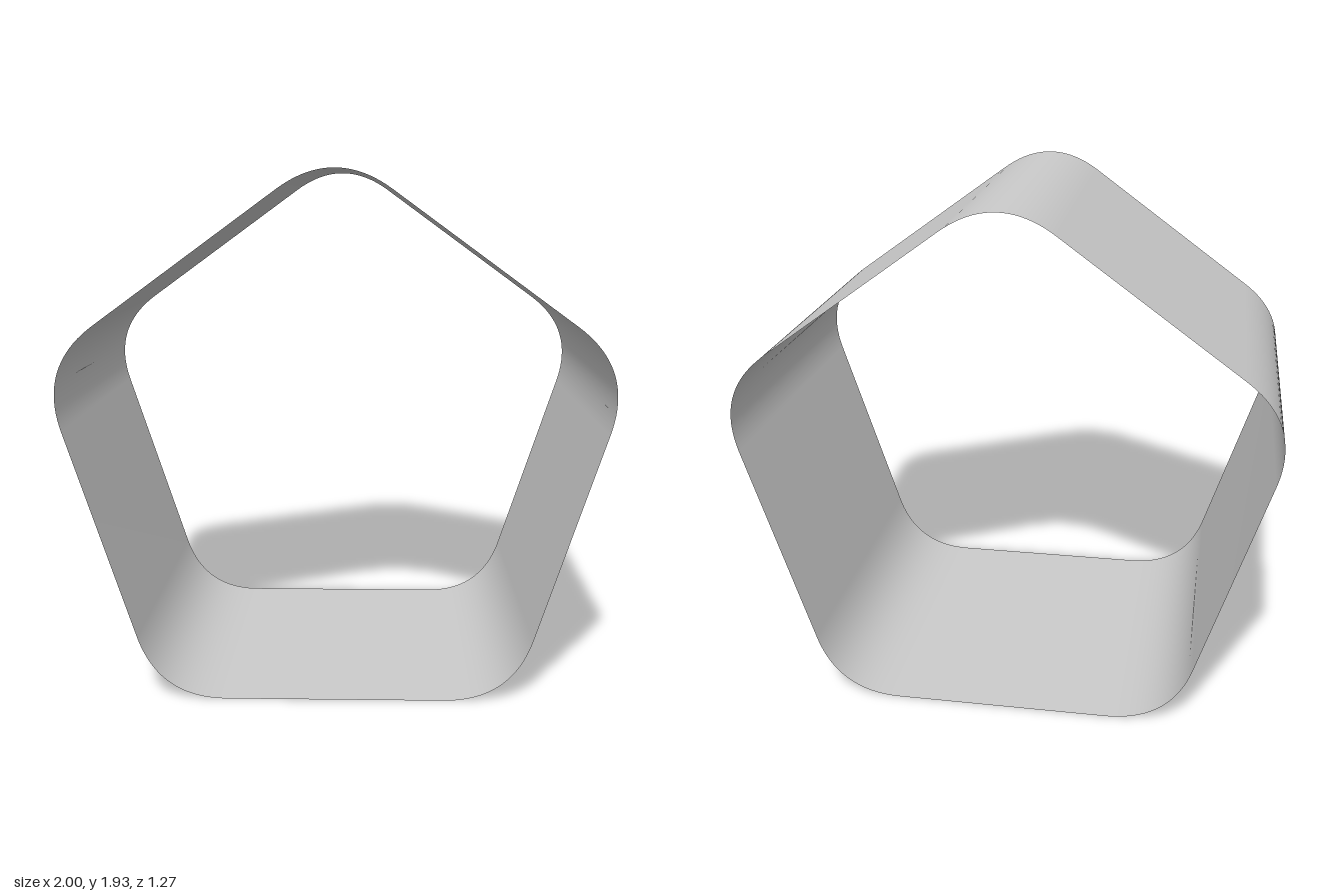
import * as THREE from 'three';

const SIDES = 5;
const RADIUS = 1.11;                                   // centre to unrounded corner
const CENTRE_Y = RADIUS * Math.cos(Math.PI / SIDES);   // bottom edge rests on y = 0
const CUT = 0.25;                                      // length of edge used by each rounding
const HALF_DEPTH = 0.637;

// Rounded regular pentagon, point up, counter-clockwise
function pentagonOutline() {
  const corners = Array.from({ length: SIDES }, (_, i) => {
    const a = Math.PI / 2 + (i * 2 * Math.PI) / SIDES;
    return new THREE.Vector2(RADIUS * Math.cos(a), CENTRE_Y + RADIUS * Math.sin(a));
  });
  const toward = (from, to) => to.clone().sub(from).setLength(CUT).add(from);
  const path = new THREE.Path();
  corners.forEach((corner, i) => {
    const start = toward(corner, corners[(i + SIDES - 1) % SIDES]);
    const end = toward(corner, corners[(i + 1) % SIDES]);
    if (i === 0) path.moveTo(start.x, start.y);
    else path.lineTo(start.x, start.y);
    path.quadraticCurveTo(corner.x, corner.y, end.x, end.y);
  });
  return path.getPoints(20);
}

// Open band swept along z from a closed outline
function bandGeometry(outline, halfDepth) {
  const positions = [];
  const indices = [];
  const n = outline.length;
  outline.forEach((p, i) => {
    positions.push(p.x, p.y, halfDepth, p.x, p.y, -halfDepth);
    const a = 2 * i;
    const b = 2 * ((i + 1) % n);
    indices.push(a, a + 1, b + 1, a, b + 1, b);
  });
  const geometry = new THREE.BufferGeometry();
  geometry.setAttribute('position', new THREE.Float32BufferAttribute(positions, 3));
  geometry.setIndex(indices);
  geometry.computeVertexNormals();
  return geometry;
}

export function createModel() {
  const group = new THREE.Group();
  group.name = 'pentagonalTube';

  // Thin open-ended shell
  const material = new THREE.MeshStandardMaterial({ color: 0xcccccc, side: THREE.DoubleSide });
  const shell = new THREE.Mesh(bandGeometry(pentagonOutline(), HALF_DEPTH), material);
  shell.name = 'tubeShell';
  group.add(shell);

  return group;
}
